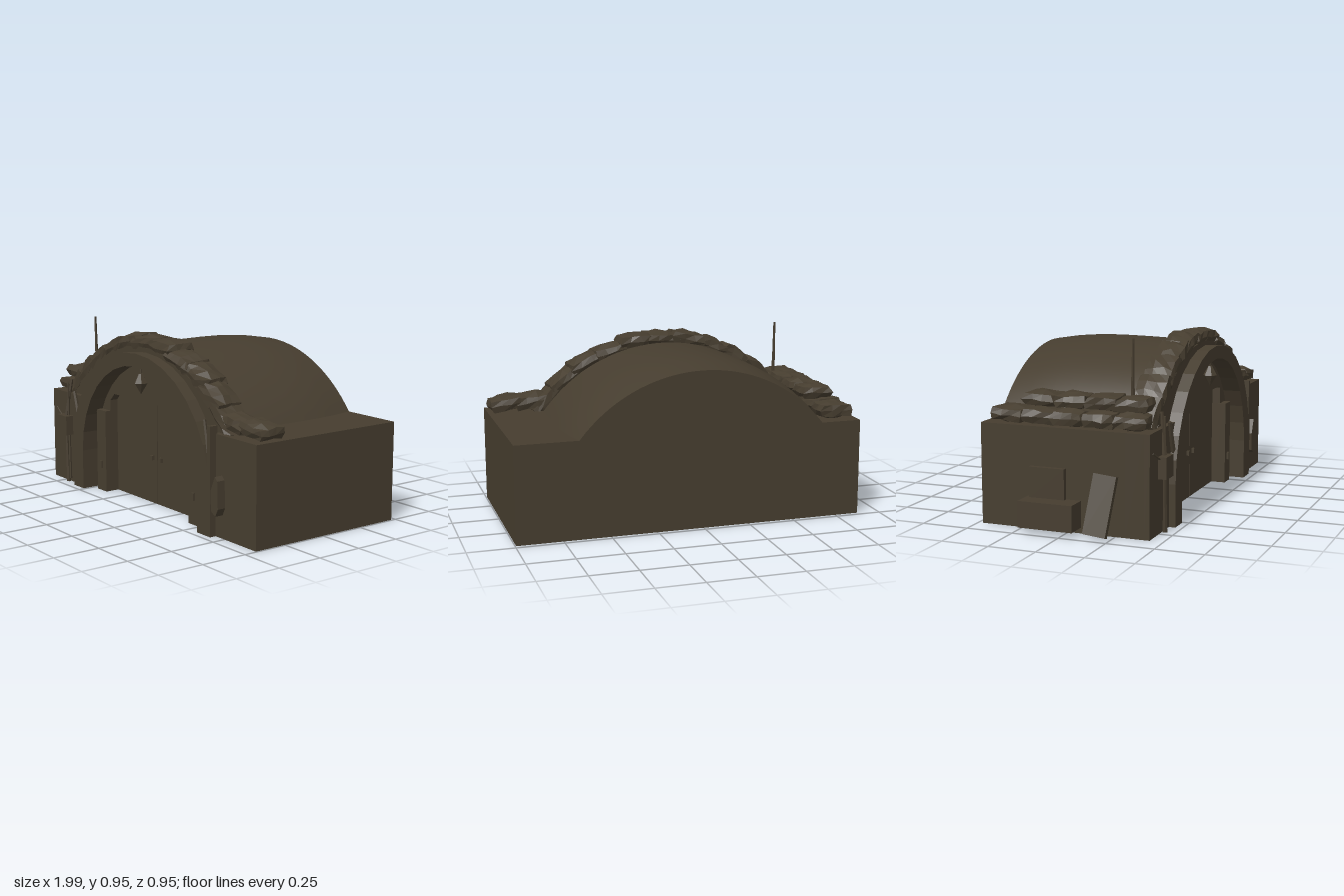
import * as THREE from 'three';

export function createModel() {
  const root = new THREE.Group();
  root.name = 'bunker';
  const olive = new THREE.MeshStandardMaterial({ color: 0x463d2f, flatShading: true });
  olive.name = 'dark olive';
  const oliveSmooth = new THREE.MeshStandardMaterial({ color: 0x463d2f });
  oliveSmooth.name = 'dark olive smooth';

  const add = (name, geo, x = 0, y = 0, z = 0, mat = olive) => {
    const m = new THREE.Mesh(geo, mat);
    m.name = name;
    m.position.set(x, y, z);
    root.add(m);
    return m;
  };
  // box given by its min and max corners
  const box = (name, x0, x1, y0, y1, z0, z1) =>
    add(name, new THREE.BoxGeometry(x1 - x0, y1 - y0, z1 - z0), (x0 + x1) / 2, (y0 + y1) / 2, (z0 + z1) / 2);
  // polygon extruded from z0 to z1
  const slab = (name, pts, z0, z1) =>
    add(name, new THREE.ExtrudeGeometry(new THREE.Shape(pts.map(p => new THREE.Vector2(...p))),
      { depth: z1 - z0, bevelEnabled: false }), 0, 0, z0);
  // thin rod between two points
  const rod = (name, a, b, r) => {
    const p = new THREE.Vector3(...a), q = new THREE.Vector3(...b);
    const m = add(name, new THREE.CylinderGeometry(r * 0.7, r, p.distanceTo(q), 5));
    m.position.copy(p).add(q).multiplyScalar(0.5);
    m.quaternion.setFromUnitVectors(new THREE.Vector3(0, 1, 0), q.sub(p).normalize());
    return m;
  };

  const CX = 0.03, SPRING = 0.22, ROOF = 0.52, LEFT = -0.88, RIGHT = 0.995, BACK = -0.475;
  // arch opening, from its -x foot over the top to its +x foot
  const arch = (rx, ry, n = 16) => {
    const pts = [[CX - rx, 0]];
    for (let i = 0; i <= n; i++) {
      const a = Math.PI * (1 - i / n);
      pts.push([CX + rx * Math.cos(a), SPRING + ry * Math.sin(a)]);
    }
    pts.push([CX + rx, 0]);
    return pts;
  };

  // main block and the front slab that holds the arched recess
  box('mainBlock', LEFT, RIGHT, 0, ROOF, BACK, 0.3);
  const vaultLine = [];
  for (let i = 0; i <= 24; i++) {
    const a = 0.64 + (Math.PI - 1.28) * i / 24;
    vaultLine.push([0.865 * Math.cos(a), 0.865 * Math.sin(a)]);
  }
  slab('frontSlab', [[LEFT, 0], ...arch(0.54, 0.55), [RIGHT, 0], [RIGHT, ROOF], ...vaultLine, [LEFT, ROOF]], 0.3, 0.4);

  // front faces of the wings, cut to the curve of the arch
  const cut = arch(0.6, 0.58, 24).filter(p => p[1] < ROOF);
  const minus = cut.filter(p => p[0] < CX), plus = cut.filter(p => p[0] > CX);
  slab('rightWingFront', [[LEFT, 0], ...minus, [-0.44, ROOF], [LEFT, ROOF]], 0.4, 0.43);
  slab('leftWingFront', [[0.5, ROOF], ...plus, [RIGHT, 0], [RIGHT, ROOF]], 0.4, 0.43);

  // vaulted roof, slightly higher in the middle than at the back
  const vault = new THREE.CylinderGeometry(1, 1, 0.775, 36, 6, false, Math.PI - 0.95, 1.9);
  vault.rotateX(Math.PI / 2).translate(0, 0, 0.3 - 0.3875);
  const vp = vault.attributes.position;
  for (let i = 0; i < vp.count; i++) {
    const d = vp.getZ(i) + 0.13, r = 0.875 - (d < 0 ? 0.29 : 0.06) * d * d;
    vp.setXY(i, vp.getX(i) * r, vp.getY(i) * r);
  }
  vault.computeVertexNormals();
  add('vaultedRoof', vault, 0, 0, 0, oliveSmooth);

  // arch ring
  slab('archRing', [...arch(0.64, 0.62), ...arch(0.54, 0.55).reverse()], 0.36, 0.465);

  // recess wall around the door
  const door = [[CX - 0.4, 0], [CX - 0.4, 0.52], [CX - 0.36, 0.56], [CX + 0.37, 0.56], [CX + 0.385, 0.55], [CX + 0.385, 0]];
  slab('recessWall', [...arch(0.55, 0.56), ...door.slice().reverse()], 0.3, 0.365);
  for (const s of [-1, 1]) {
    const x = CX - 0.01 + s * 0.435;
    box('doorJamb', x - 0.045, x + 0.045, 0, 0.46, 0.32, 0.4);
    box('hinge', x - 0.01, x + 0.01, 0.13, 0.17, 0.4, 0.41);
  }

  // double door with handles
  box('doorLeafRight', CX - 0.4, CX - 0.013, 0, 0.56, 0.3, 0.32);
  box('doorLeafLeft', CX - 0.007, CX + 0.39, 0, 0.56, 0.3, 0.32);
  for (const x of [-0.02, 0.06]) box('doorHandle', x - 0.01, x + 0.01, 0.24, 0.265, 0.32, 0.335);

  // hanging lamp
  const lamp = add('lamp', new THREE.CylinderGeometry(0.012, 0.038, 0.05, 6), CX, 0.705, 0.43);
  const bulb = lamp.clone();
  bulb.geometry = new THREE.ConeGeometry(0.038, 0.06, 6).rotateX(Math.PI);
  bulb.name = 'lampBulb';
  bulb.position.y = 0.65;
  root.add(bulb);
  rod('lampCord', [CX, 0.72, 0.43], [CX, 0.79, 0.43], 0.005);

  // sandbags: pillow-shaped boxes with seeded wrinkles
  let seed = 11;
  const rnd = () => ((seed = (seed * 16807) % 2147483647) / 2147483647) - 0.5;
  const bag = (name, x, y, z, len, thick, wide, rotY, rotZ) => {
    const g = new THREE.BoxGeometry(1, 1, 1, 3, 2, 3), p = g.attributes.position, moved = {};
    for (let i = 0; i < p.count; i++) {
      const v = [p.getX(i), p.getY(i), p.getZ(i)];
      const key = v.map(c => Math.round(c * 6)).join();
      moved[key] ??= [rnd() * 0.09, rnd() * 0.14, rnd() * 0.09];
      const edge = Math.max(Math.abs(v[0]), Math.abs(v[2])) > 0.4;
      const k = Math.abs(v[1]) > 0.4 ? 0.92 : 1.04;
      p.setXYZ(i, (v[0] * k + moved[key][0]) * len, (v[1] * (edge ? 0.72 : 1.05) + moved[key][1]) * thick,
        (v[2] * k + moved[key][2]) * wide);
    }
    g.computeVertexNormals();
    add(name, g, x, y, z).rotation.set(0, rotY + rnd() * 0.12, rotZ + rnd() * 0.12);
  };
  // bags over the arch
  for (let i = 0; i < 11; i++) {
    const a = 0.7 + (Math.PI - 1.4) * i / 10, r = 0.885 + rnd() * 0.02;
    bag('archSandbag', r * Math.cos(a), r * Math.sin(a), 0.325, 0.185, 0.085, 0.155, 0, a - Math.PI / 2 + 0.08);
  }
  // bags on the +x shoulder
  bag('leftSandbag', 0.75, 0.57, 0.325, 0.18, 0.09, 0.15, 0, -0.06);
  bag('leftSandbag', 0.9, 0.565, 0.325, 0.17, 0.08, 0.15, 0, -0.1);
  // two layers along the -x side
  for (let i = 0; i < 5; i++) bag('rightSandbag', -0.77, 0.56, 0.31 - i * 0.163, 0.165, 0.085, 0.17, Math.PI / 2, 0);
  for (let i = 0; i < 4; i++) bag('rightUpperSandbag', -0.72, 0.635, 0.3 - i * 0.165, 0.165, 0.08, 0.16, Math.PI / 2, 0);

  // antenna
  rod('antennaBase', [-0.665, 0.62, 0.26], [-0.672, 0.76, 0.26], 0.012);
  rod('antenna', [-0.672, 0.74, 0.262], [-0.675, 0.95, 0.265], 0.009);

  // switch box with cables
  box('switchBox', -0.77, -0.67, 0.28, 0.39, 0.43, 0.475);
  rod('cable', [-0.705, 0, 0.445], [-0.715, 0.28, 0.445], 0.012);
  rod('cable', [-0.715, 0.39, 0.445], [-0.69, 0.6, 0.42], 0.012);
  rod('cable', [-0.69, 0.02, 0.44], [-0.7, 0.58, 0.44], 0.008);
  rod('cable', [-0.77, 0.38, 0.44], [-0.84, 0.42, 0.432], 0.005);
  rod('brace', [-0.57, 0.36, 0.44], [-0.63, 0.54, 0.44], 0.014);

  // post and wall lantern on the other side
  box('wallPost', 0.655, 0.68, 0, 0.56, 0.42, 0.465);
  rod('brace', [0.645, 0.36, 0.44], [0.6, 0.58, 0.44], 0.012);
  slab('wallLantern', [[0.7, 0.14], [0.735, 0.12], [0.755, 0.16], [0.75, 0.3], [0.73, 0.32], [0.695, 0.24]], 0.43, 0.475);

  // bench and leaning board on the -x side
  box('benchSeat', -0.995, LEFT, 0.03, 0.165, -0.22, 0.07);
  box('benchBack', -0.905, LEFT, 0.16, 0.32, -0.2, -0.01);
  const board = box('leaningBoard', -0.95, -0.92, 0.015, 0.315, 0.135, 0.255);
  board.rotation.z = -0.26;
  board.rotation.x = 0.1;

  return root;
}
